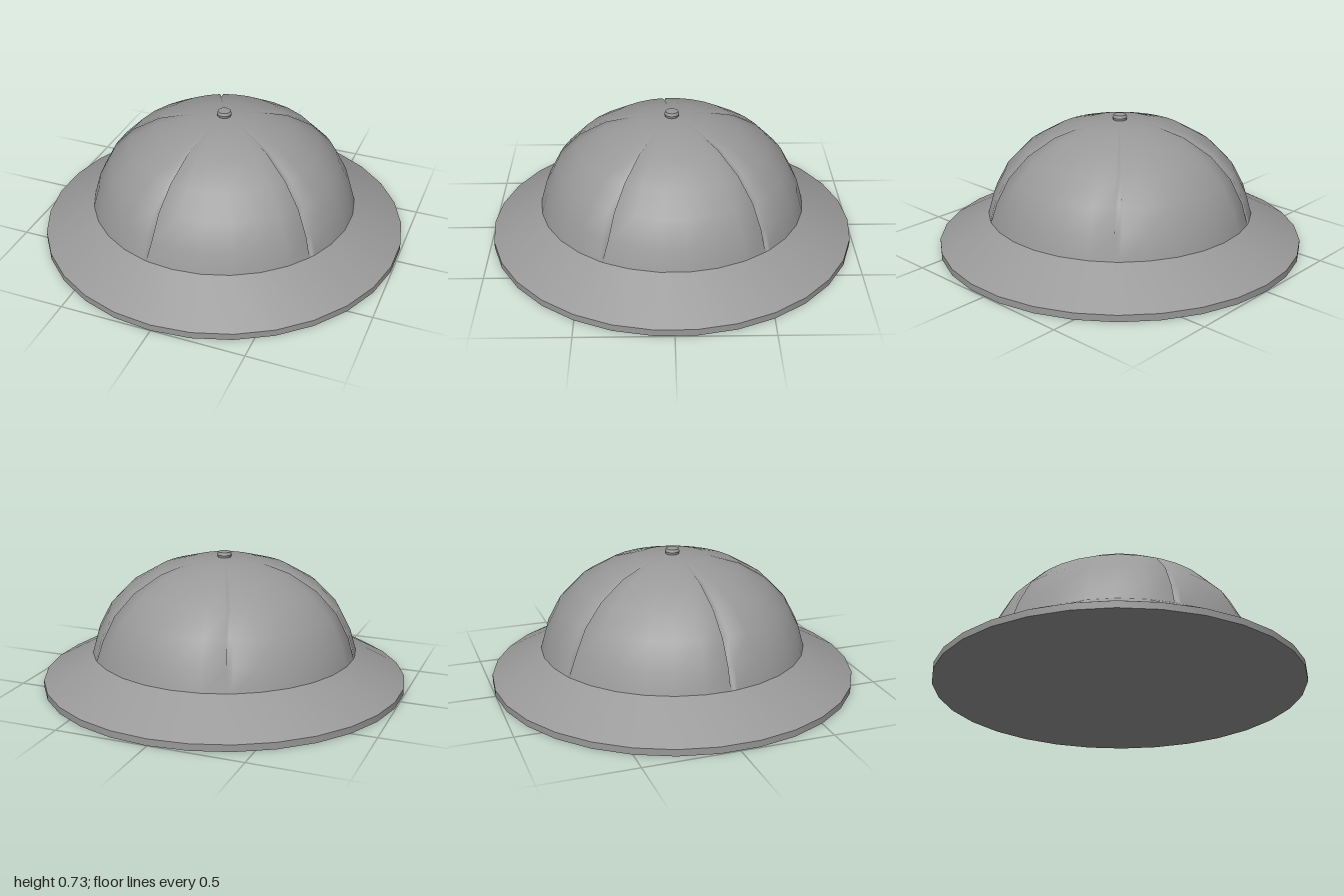
import * as THREE from 'three';
import { toCreasedNormals } from 'three/addons/utils/BufferGeometryUtils.js';

const SIDES = 30;
const RAD = Math.PI / 180;

function lathe(points, sides) {
  const profile = points.map(([r, y]) => new THREE.Vector2(r, y));
  return toCreasedNormals(new THREE.LatheGeometry(profile, sides), 0.42);
}

// Dome of five panels, parted by narrow V-shaped grooves that fade out at both ends
function domeGeometry() {
  // Rings as [radius, height, groove depth as a share of the radius]
  const rings = [
    [0.727, 0.185, 0], [0.694, 0.3, 0.06], [0.626, 0.43, 0.09], [0.515, 0.544, 0.09],
    [0.365, 0.632, 0.08], [0.19, 0.684, 0.03],
  ];
  const halfWidth = 1.5;

  // Columns as [angle in degrees, 1 at the bottom of a groove]
  const columns = [];
  for (let i = 0; i < SIDES; i++) {
    const a = -12 + i * 360 / SIDES;
    if (i % 6 === 0) columns.push([a - halfWidth, 0], [a, 1], [a + halfWidth, 0]);
    else columns.push([a, 0]);
  }

  const positions = [], index = [], n = columns.length;
  for (const [radius, y, depth] of rings) {
    for (const [a, groove] of columns) {
      const r = radius * (1 - depth * groove);
      positions.push(r * Math.sin(a * RAD), y, r * Math.cos(a * RAD));
    }
  }
  const apex = positions.length / 3;
  positions.push(0, 0.702, 0);

  for (let j = 0; j < rings.length; j++) {
    for (let i = 0; i < n; i++) {
      const a = j * n + i, b = j * n + (i + 1) % n;
      if (j === rings.length - 1) index.push(a, b, apex);
      else index.push(a, b, b + n, a, b + n, a + n);
    }
  }
  const geometry = new THREE.BufferGeometry();
  geometry.setAttribute('position', new THREE.Float32BufferAttribute(positions, 3));
  geometry.setIndex(index);
  geometry.computeVertexNormals();
  return geometry;
}

export function createModel() {
  const group = new THREE.Group();
  group.name = 'hat';
  const material = new THREE.MeshStandardMaterial({ color: 0x999999 });
  const add = (name, geometry) => {
    const mesh = new THREE.Mesh(geometry, material);
    mesh.name = name;
    group.add(mesh);
  };

  // Sloping brim with a flat closed underside
  add('brim', lathe([[0, 0], [1, 0], [1, 0.036], [0.727, 0.185]], SIDES));
  add('crown', domeGeometry());
  // Small rounded button on top
  add('topButton', lathe([[0.034, 0.69], [0.04, 0.712], [0.034, 0.727], [0, 0.727]], 16));

  return group;
}
